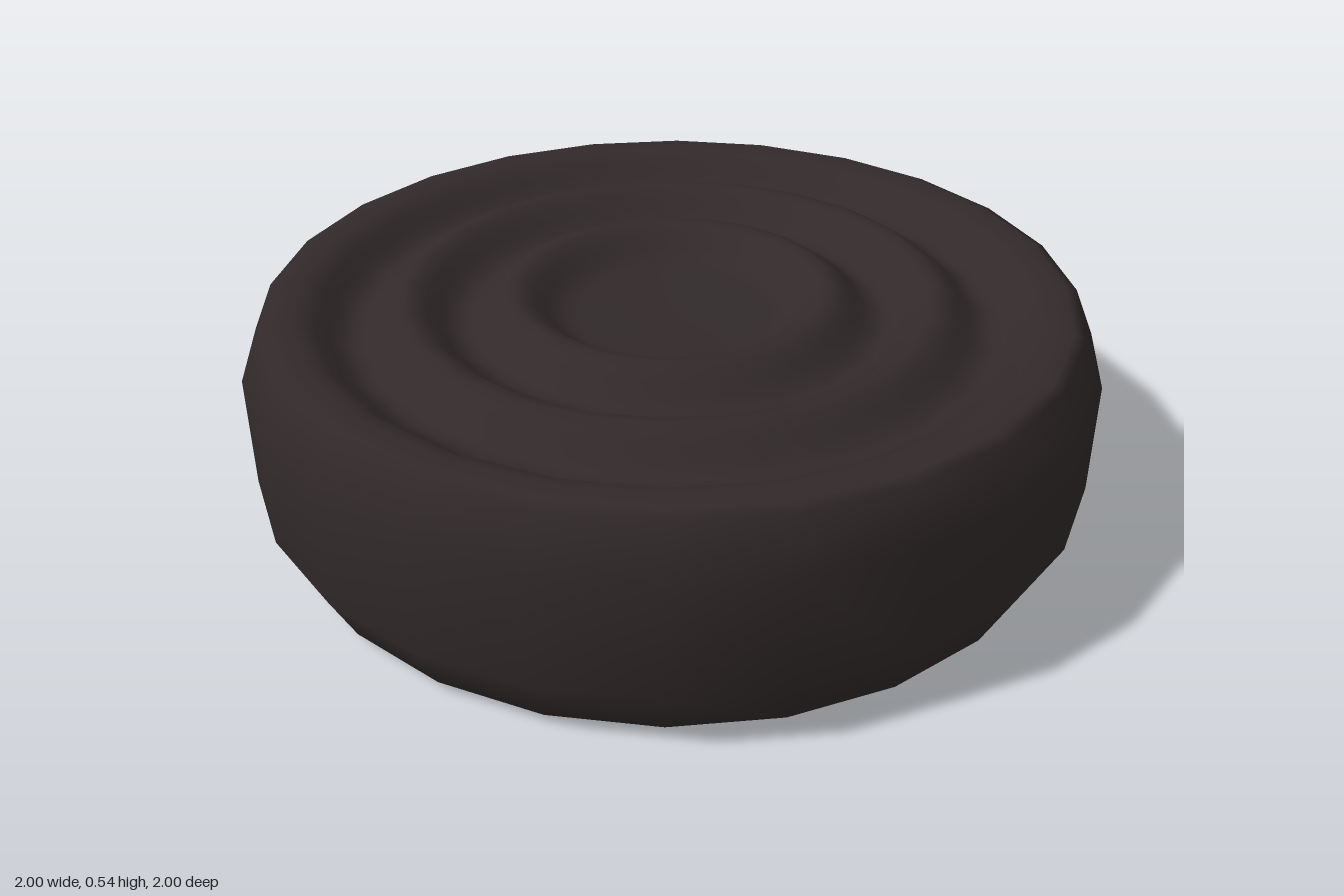
import * as THREE from 'three';
import { mergeVertices } from 'three/addons/utils/BufferGeometryUtils.js';

const SIDES = 24;
const TOP = 0.54;
const INNER_CREST = 0.37;
const OUTER_CREST = 0.87;
const PITCH = 0.25;
const DEPTH = 0.07;

// Height of the top: flat rim, rounded ridges, shallow bowl in the middle
function topHeight(r) {
  if (r > OUTER_CREST) return TOP;
  const bowlEdge = INNER_CREST - PITCH / 2;
  if (r < bowlEdge) return TOP - DEPTH - 0.01 * (1 - r / bowlEdge);
  return TOP - DEPTH / 2 * (1 - Math.cos(2 * Math.PI * (r - INNER_CREST) / PITCH));
}

function bodyGeometry() {
  // Underside lip and bevelled outer wall
  const profile = [[0.83, 0.05], [0.92, 0.02], [0.94, 0.025], [1, 0.145], [1, 0.415], [0.95, 0.53]]
    .map(([r, y]) => new THREE.Vector2(r, y));
  // Rings across the top, from the rim to the centre
  for (let i = 37; i >= 0; i--) {
    const r = i * 0.025;
    profile.push(new THREE.Vector2(r, topHeight(r)));
  }
  const lathe = new THREE.LatheGeometry(profile, SIDES);
  lathe.deleteAttribute('uv');
  lathe.deleteAttribute('normal');
  const geometry = mergeVertices(lathe, 1e-4);
  geometry.computeVertexNormals();
  return geometry;
}

export function createModel() {
  const group = new THREE.Group();
  group.name = 'ridgedRoll';

  const dark = new THREE.MeshStandardMaterial({ color: 0x322a2a });
  dark.name = 'dark brown';
  const pale = new THREE.MeshStandardMaterial({ color: 0xe4c1b2 });
  pale.name = 'pale pink';

  // Round body with ridged top
  const body = new THREE.Mesh(bodyGeometry(), dark);
  body.name = 'ridgedBody';
  group.add(body);

  // Base disc showing underneath
  const base = new THREE.Mesh(new THREE.CylinderGeometry(0.87, 0.835, 0.05, SIDES), pale);
  base.name = 'baseDisc';
  base.position.y = 0.025;
  group.add(base);

  return group;
}
